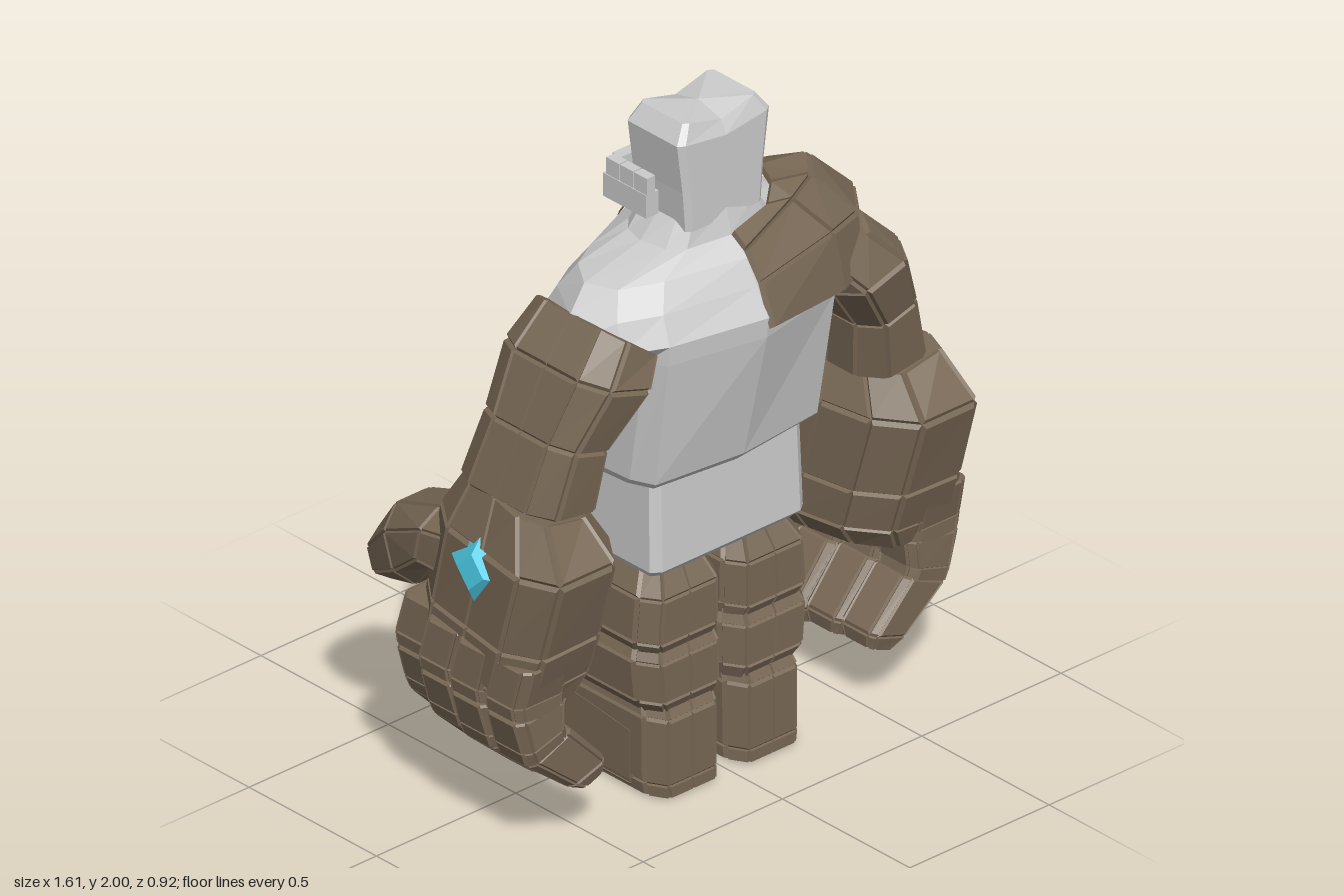
import * as THREE from 'three';

const V = (x, y, z) => new THREE.Vector3(x, y, z);
const material = (color) => new THREE.MeshStandardMaterial({ color, flatShading: true });
const GREY = material(0xcccccc);
const BROWN = material(0x786855);
const CYAN = material(0x4fd0ea);

// Chamfered cross-section between edge midpoints a and b, with half-width vector w;
// split adds a middle point on the two wide sides
function ring(a, b, w, c = 0.2, split = true) {
  const k = 1 - 2 * c;
  const outer = split ? [[1, -k], [1, 0], [1, k]] : [[1, -k], [1, k]];
  const inner = split ? [[0, k], [0, 0], [0, -k]] : [[0, k], [0, -k]];
  return [[c, -1], [1 - c, -1], ...outer, [1 - c, 1], [c, 1], ...inner]
    .map(([u, v]) => a.clone().lerp(b, u).addScaledVector(w, v));
}

// Skin over rows of points; with raise > 0 every cell becomes a bevelled stone plate
function loft(rows, { raise = 0, inset = 0.08, open = false, ref } = {}) {
  const mean = (pts) => pts.reduce((s, p) => s.add(p), V(0, 0, 0)).divideScalar(pts.length);
  const centre = ref || mean(rows.flat());
  const n = rows[0].length;
  const cells = [];
  for (let j = 0; j < rows.length - 1; j++) {
    for (let i = 0; i < (open ? n - 1 : n); i++) {
      const k = (i + 1) % n;
      cells.push([rows[j][i], rows[j][k], rows[j + 1][k], rows[j + 1][i]]);
    }
  }
  const normal = ([a, b, c, d]) => c.clone().sub(a).cross(d.clone().sub(b));
  // Total outward flux decides the winding, so mirrored parts need no special care
  const flux = cells.reduce((s, q) => s + normal(q).dot(mean(q).sub(centre)), 0);
  const out = [];
  const tri = (...p) => p.forEach((v) => out.push(v.x, v.y, v.z));
  const quad = (a, b, c, d) => { tri(a, b, c); tri(a, c, d); };
  for (const cell of cells) {
    const q = flux < 0 ? cell.slice().reverse() : cell;
    if (!raise) { quad(...q); continue; }
    const mid = mean(q), lift = normal(q).normalize().multiplyScalar(raise);
    const top = q.map((p) => p.clone().lerp(mid, inset).add(lift));
    quad(...top);
    q.forEach((p, i) => quad(p, q[(i + 1) % 4], top[(i + 1) % 4], top[i]));
  }
  if (!open) {
    [rows[0], rows[rows.length - 1]].forEach((r, end) => {
      const m = mean(r);
      r.forEach((p, i) => {
        const e = r[(i + 1) % n];
        if ((end === 0) === (flux > 0)) tri(m, e, p); else tri(m, p, e);
      });
    });
  }
  const geo = new THREE.BufferGeometry();
  geo.setAttribute('position', new THREE.Float32BufferAttribute(out, 3));
  geo.computeVertexNormals();
  return geo;
}

export function createModel() {
  const model = new THREE.Group();
  const add = (name, geo, mat, parent = model) => {
    const mesh = new THREE.Mesh(geo, mat);
    mesh.name = name;
    parent.add(mesh);
    return mesh;
  };
  const box = (name, size, pos, mat, parent) =>
    add(name, new THREE.BoxGeometry(...size), mat, parent).position.set(...pos);
  // Faceted crystal standing out along dir
  const gem = (name, pos, dir, r, h, parent) => {
    const m = add(name, new THREE.CylinderGeometry(r * 0.45, r, h, 4), CYAN, parent);
    m.position.copy(pos);
    m.quaternion.setFromUnitVectors(V(0, 1, 0), dir.normalize());
    return m;
  };

  // Chest: symmetric rows, half listed from back to front as [x, z]
  const chestRows = [
    [0.96, [0, 0.32], [0.27, 0.29], [0.3, 0.22], [0.31, 0.1], [0.31, 0], [0.31, -0.11], [0, -0.12]],
    [0.99, [0, 0.35], [0.29, 0.32], [0.32, 0.25], [0.33, 0.1], [0.33, 0], [0.33, -0.13], [0, -0.15]],
    [1.38, [0, 0.44], [0.3, 0.38], [0.33, 0.32], [0.36, 0.17], [0.35, 0.02], [0.32, -0.05], [0, -0.18]],
    [1.44, [0, 0.445], [0.3, 0.385], [0.42, 0.33], [0.54, 0.18], [0.41, 0], [0.33, -0.035], [0, -0.175]],
    [1.52, [0, 0.4], [0.29, 0.35], [0.41, 0.3], [0.47, 0.18], [0.39, 0.04], [0.3, -0.01], [0, -0.13]],
    [1.59, [0, 0.36], [0.25, 0.31], [0.37, 0.26], [0.41, 0.17], [0.35, 0.08], [0.26, 0.03], [0, -0.08]],
    [1.635, [0, 0.3], [0.14, 0.28], [0.18, 0.24], [0.2, 0.16], [0.18, 0.09], [0.14, 0.05], [0, 0]],
    [1.71, [0, 0.28], [0.11, 0.27], [0.13, 0.23], [0.13, 0.16], [0.13, 0.1], [0.11, 0.06], [0, 0.05]],
  ].map(([y, ...half]) => [
    ...half.map(([x, z]) => V(x, y, z)),
    ...half.slice(1, 6).reverse().map(([x, z]) => V(-x, y, z)),
  ]);
  add('chest', loft(chestRows), GREY);

  // Hips
  const slab = (x0, x1, z0, z1, y, c) =>
    ring(V(x0, y, (z0 + z1) / 2), V(x1, y, (z0 + z1) / 2), V(0, 0, (z1 - z0) / 2), c);
  add('hips', loft([
    slab(-0.25, 0.25, -0.08, 0.27, 0.67, 0.05), slab(-0.275, 0.275, -0.11, 0.3, 0.7, 0.05),
    slab(-0.27, 0.27, -0.1, 0.29, 0.97, 0.05),
  ]), GREY);

  // Stone mantle over one shoulder only
  const mantle = [
    [[0, 1.41, 0.45], [0.31, 1.38, 0.39], [0.43, 1.39, 0.34], [0.55, 1.41, 0.19],
      [0.42, 1.36, -0.01], [0.34, 1.27, -0.06], [0, 1.33, -0.185]],
    [[0, 1.53, 0.405], [0.3, 1.55, 0.36], [0.43, 1.54, 0.31], [0.535, 1.53, 0.18],
      [0.41, 1.52, 0.03], [0.32, 1.5, -0.02], [0, 1.5, -0.15]],
    [[0, 1.605, 0.35], [0.22, 1.65, 0.29], [0.33, 1.66, 0.24], [0.39, 1.67, 0.17],
      [0.33, 1.64, 0.08], [0.24, 1.62, 0.02], [0, 1.595, -0.085]],
    [[0, 1.635, 0.3], [0.15, 1.65, 0.27], [0.2, 1.68, 0.23], [0.23, 1.685, 0.16],
      [0.2, 1.67, 0.1], [0.15, 1.65, 0.05], [0, 1.63, -0.02]],
  ].map((row) => row.map((p) => V(...p)));
  add('shoulderMantle', loft(mantle, { raise: 0.014, inset: 0.06, open: true, ref: V(0, 1.3, 0.15) }), BROWN);
  gem('chestGem', V(0, 1.33, -0.195), V(0, 0, -1), 0.11, 0.06).scale.x = 0.85;

  // Head with a notched crown
  const head = new THREE.Group();
  head.name = 'head';
  model.add(head);
  const skull = (y, hx, z0, z1, dip = 0) => {
    const r = ring(V(0, y, z0), V(0, y, z1), V(hx, 0, 0), 0.06);
    r[3].y -= dip;
    r[8].y -= dip;
    return r;
  };
  add('skull', loft([
    skull(1.68, 0.135, 0.06, 0.28), skull(1.8, 0.145, 0.06, 0.28),
    skull(1.95, 0.165, 0.06, 0.28, 0.02), skull(2, 0.13, 0.08, 0.26, 0.03),
  ]), GREY, head);
  // Jaw bar with blocky teeth, and eyes
  box('jawFront', [0.37, 0.07, 0.06], [0, 1.735, 0.03], GREY, head);
  for (const x of [-0.125, -0.045, 0.045, 0.125]) {
    box('frontTooth', [0.06, 0.05, 0.035], [x, 1.795, 0.02], GREY, head);
  }
  for (const s of [-1, 1]) {
    box('jawSide', [0.045, 0.07, 0.17], [s * 0.165, 1.735, 0.085], GREY, head);
    for (const z of [0.035, 0.09, 0.145]) {
      box('sideTooth', [0.03, 0.05, 0.05], [s * 0.17, 1.795, z], GREY, head);
    }
    box('eye', [0.04, 0.04, 0.03], [s * 0.07, 1.88, 0.052], CYAN, head);
  }

  for (const s of [-1, 1]) {
    const side = s > 0 ? 'left' : 'right';
    // Cross-section from inner (xi, yi) to outer (xo, yo) edge, spanning z0..z1;
    // lean shifts the back outwards and the front inwards
    const slice = ([xi, yi, xo, yo, z0, z1], c, split, lean = 0) => ring(
      V(s * xi, yi, (z0 + z1) / 2), V(s * xo, yo, (z0 + z1) / 2), V(s * lean, 0, (z1 - z0) / 2), c, split);
    // Cross-section from low (y, z) to high (y, z), spanning x0..x1
    const across = ([y0, z0, y1, z1, x0, x1], c) => ring(
      V(s * (x0 + x1) / 2, y0, z0), V(s * (x0 + x1) / 2, y1, z1), V((x1 - x0) / 2, 0, 0), c, false);

    const arm = new THREE.Group();
    arm.name = side + 'Arm';
    model.add(arm);
    add('upperArm', loft([
      [0.49, 1.0, 0.7, 1.03, -0.03, 0.33], [0.47, 1.18, 0.64, 1.23, 0.01, 0.35],
      [0.35, 1.34, 0.57, 1.41, 0, 0.4], [0.3, 1.4, 0.46, 1.52, 0.02, 0.36],
    ].map((r) => slice(r)), { raise: 0.012 }), BROWN, arm);
    add('forearm', loft([
      [0.49, 0.47, 0.73, 0.47, -0.17, 0.31], [0.44, 0.54, 0.765, 0.52, -0.18, 0.33],
      [0.44, 0.66, 0.765, 0.65, -0.16, 0.37], [0.45, 0.9, 0.76, 0.9, -0.11, 0.44],
      [0.49, 1.0, 0.7, 1.04, -0.04, 0.34],
    ].map((r) => slice(r, 0.2, true, 0.045)), { raise: 0.012 }), BROWN, arm);
    gem('armGem', V(s * 0.773, 0.84, 0.14), V(s, 0.1, 0), 0.115, 0.04, arm);

    // Four fingers curling inwards, front one set furthest in: knuckle, middle and tip blocks
    [-0.055, -0.012, 0.005, 0.005].forEach((dx, f) => {
      const z0 = -0.22 + f * 0.139, z1 = z0 + 0.134, dy = f * 0.012;
      const segments = {
        knuckle: [[0.62, 0.44, 0.785, 0.46, z0, z1], [0.62, 0.5, 0.792, 0.5, z0, z1],
          [0.62, 0.62, 0.785, 0.62, z0 + 0.03, z1 + 0.03]],
        fingerMiddle: [[0.61, 0.36, 0.74, 0.31, z0, z1], [0.62, 0.39, 0.755, 0.35, z0 - 0.005, z1 + 0.003],
          [0.61, 0.47, 0.785, 0.45, z0, z1]],
        fingerTip: [[0.48, 0.16 + dy, 0.545, 0.135 + dy, z0 + 0.015, z1 - 0.01],
          [0.475, 0.2 + dy, 0.595, 0.16 + dy, z0 + 0.005, z1], [0.6, 0.37, 0.74, 0.31, z0, z1]],
      };
      for (const [name, rows] of Object.entries(segments)) {
        const geo = loft(rows.map((r) => slice(r, 0.12, false)), { raise: 0.007 });
        add(name, geo, BROWN, arm).position.x = s * dx;
      }
    });
    // Thumb reaching forwards, down and slightly inwards
    add('thumb', loft([
      [0.66, -0.02, 0.9, 0, 0.46, 0.7], [0.68, -0.17, 0.87, -0.13, 0.47, 0.71],
      [0.58, -0.26, 0.79, -0.33, 0.45, 0.68], [0.53, -0.39, 0.66, -0.435, 0.43, 0.64],
      [0.55, -0.43, 0.61, -0.45, 0.48, 0.57],
    ].map((r) => across(r, 0.26)), { raise: 0.008 }), BROWN, arm);

    const leg = new THREE.Group();
    leg.name = side + 'Leg';
    model.add(leg);
    // Thigh, knee and shin blocks: [x0, x1, zFront, zBack, y]
    const block = (name, rows) => add(name, loft(
      rows.map(([x0, x1, z0, z1, y]) => ring(V((x0 + x1) / 2 * s, y, z0), V((x0 + x1) / 2 * s, y, z1),
        V((x1 - x0) / 2, 0, 0), 0.13)), { raise: 0.008 }), BROWN, leg);
    block('thigh', [[0.03, 0.27, -0.08, 0.28, 0.44], [0.025, 0.29, -0.12, 0.3, 0.48],
      [0.025, 0.28, -0.1, 0.3, 0.61], [0.06, 0.23, -0.04, 0.25, 0.69]]);
    block('knee', [[0.03, 0.25, -0.1, 0.28, 0.26], [0.02, 0.28, -0.13, 0.3, 0.3],
      [0.02, 0.29, -0.15, 0.3, 0.42], [0.03, 0.27, -0.11, 0.28, 0.46]]);
    block('shin', [[0.035, 0.25, -0.08, 0.3, 0.005], [0.035, 0.255, -0.1, 0.3, 0.04],
      [0.035, 0.255, -0.12, 0.3, 0.24], [0.04, 0.245, -0.09, 0.28, 0.28]]);
    gem('kneeGem', V(s * 0.16, 0.45, -0.15), V(0, 0.3, -1), 0.065, 0.04, leg);
    // Two toes per foot
    for (const x of [0.035, 0.148]) {
      add('toe', loft([
        [0.005, 0.2, 0.2, 0.2, x, x + 0.11], [0.005, -0.1, 0.24, -0.1, x, x + 0.11],
        [0.005, -0.27, 0.19, -0.25, x, x + 0.11], [0.005, -0.375, 0.1, -0.35, x + 0.005, x + 0.105],
      ].map((r) => across(r, 0.08)), { raise: 0.006 }), BROWN, leg);
    }
  }
  return model;
}
